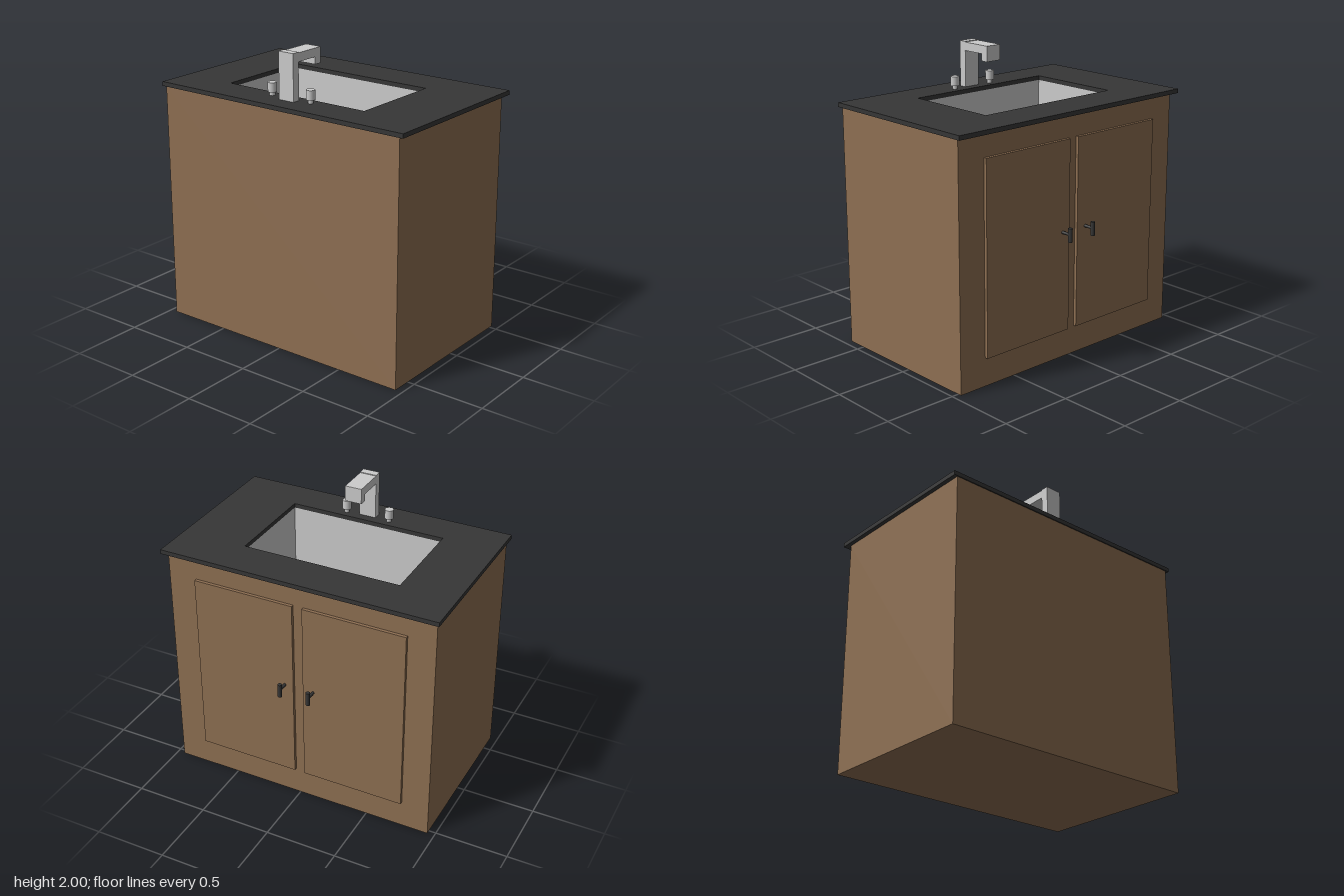
import * as THREE from 'three';

const wood = new THREE.MeshStandardMaterial({ color: 0x8e6f52 });
const dark = new THREE.MeshStandardMaterial({ color: 0x363636 });
const grey = new THREE.MeshStandardMaterial({ color: 0xcccccc });

export function createModel() {
  const model = new THREE.Group();

  const add = (name, geometry, material, parent = model) => {
    const mesh = new THREE.Mesh(geometry, material);
    mesh.name = name;
    parent.add(mesh);
    return mesh;
  };

  // Box given by its extents on each axis
  const box = (name, [x0, x1], [y0, y1], [z0, z1], material, parent) => {
    const g = new THREE.BoxGeometry(x1 - x0, y1 - y0, z1 - z0);
    g.translate((x0 + x1) / 2, (y0 + y1) / 2, (z0 + z1) / 2);
    return add(name, g, material, parent);
  };

  // Rectangle in plan, as points for a shape (shape y = -z)
  const rect = ([x0, x1], [z0, z1]) => [
    [x0, -z1], [x1, -z1], [x1, -z0], [x0, -z0],
  ].map(([x, y]) => new THREE.Vector2(x, y));

  // Upright rectangular ring: outer and inner plan extents, y range
  const ring = (name, outer, inner, [y0, y1], material, parent) => {
    const shape = new THREE.Shape(rect(...outer));
    shape.holes.push(new THREE.Path(rect(...inner)));
    const g = new THREE.ExtrudeGeometry(shape, { depth: y1 - y0, bevelEnabled: false });
    g.rotateX(-Math.PI / 2).translate(0, y0, 0);
    return add(name, g, material, parent);
  };

  const group = (name) => {
    const g = new THREE.Group();
    g.name = name;
    model.add(g);
    return g;
  };

  // Cabinet carcass
  const cabinet = group('cabinet');
  ring('cabinetWalls', [[-0.635, 0.528], [-0.95, 0.95]], [[-0.615, 0.508], [-0.93, 0.93]], [0, 1.655], wood, cabinet);
  box('cabinetFloor', [-0.615, 0.508], [0, 0.02], [-0.93, 0.93], wood, cabinet);

  // Countertop with sink cut-out
  const sinkX = [-0.394, 0.285], sinkZ = [-0.59, 0.515];
  ring('countertop', [[-0.642, 0.575], [-0.978, 0.978]], [sinkX, sinkZ], [1.655, 1.685], dark);

  // Sink basin
  const sink = group('sink');
  const grow = ([a, b]) => [a - 0.015, b + 0.015];
  ring('basinWalls', [grow(sinkX), grow(sinkZ)], [sinkX, sinkZ], [1.23, 1.655], grey, sink);
  box('basinFloor', grow(sinkX), [1.21, 1.23], grow(sinkZ), grey, sink);

  // Doors, each with a T-shaped handle near the centre
  const doors = [
    { side: 'left', z: [0.031, 0.747], handleZ: 0.092 },
    { side: 'right', z: [-0.759, -0.041], handleZ: -0.115 },
  ];
  for (const { side, z, handleZ } of doors) {
    const door = group(side + 'Door');
    box('doorPanel', [0.528, 0.55], [0.195, 1.502], z, wood, door);
    const stem = add('handleStem', new THREE.CylinderGeometry(0.01, 0.01, 0.075, 16), dark, door);
    stem.rotation.z = Math.PI / 2;
    stem.position.set(0.5825, 0.887, handleZ);
    const bar = add('handleBar', new THREE.CylinderGeometry(0.015, 0.015, 0.094, 20), dark, door);
    bar.position.set(0.62, 0.884, handleZ);
  }

  // Square faucet
  const faucet = group('faucet');
  const fz = [-0.071, 0.047];
  box('faucetColumn', [-0.51, -0.455], [1.685, 2], fz, grey, faucet);
  box('faucetArm', [-0.455, -0.232], [1.937, 1.995], fz, grey, faucet);
  box('faucetSpout', [-0.288, -0.232], [1.888, 1.937], fz, grey, faucet);

  // Tap knobs either side of the faucet
  for (const z of [0.142, -0.173]) {
    const tap = group('tap');
    tap.position.set(-0.455, 0, z);
    add('tapStem', new THREE.CylinderGeometry(0.018, 0.018, 0.025, 20), grey, tap).position.y = 1.6965;
    add('tapKnob', new THREE.CylinderGeometry(0.03, 0.03, 0.064, 24), grey, tap).position.y = 1.741;
  }

  return model;
}
